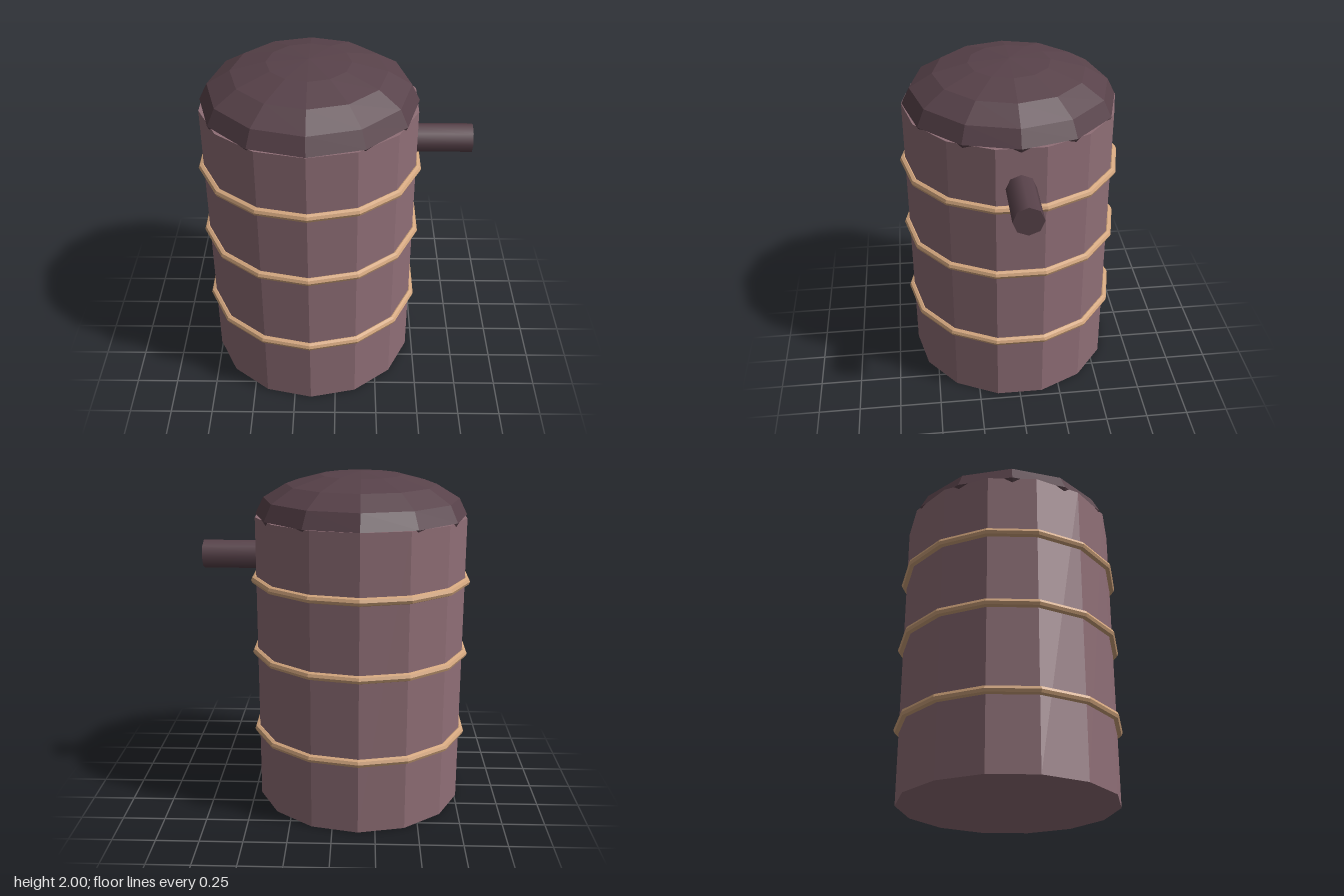
import * as THREE from 'three';

const CX = -0.15; // axis of the barrel
const SIDES = 14;

const material = (name, color) => {
  const m = new THREE.MeshStandardMaterial({ color });
  m.name = name;
  return m;
};

// Separate the faces so each facet is shaded flat
const faceted = (geometry) => {
  const g = geometry.toNonIndexed();
  g.computeVertexNormals();
  return g;
};

export function createModel() {
  const group = new THREE.Group();
  group.name = 'barrel';
  const wood = material('mauve wood', 0x8f6e76);
  const dark = material('dark plum', 0x58424a);
  const brass = material('tan hoop', 0xd3a67e);

  const add = (name, geometry, mat, x, y) => {
    const mesh = new THREE.Mesh(geometry, mat);
    mesh.name = name;
    mesh.position.set(x, y, 0);
    group.add(mesh);
    return mesh;
  };

  // Straight fourteen-sided body with a corner facing the front
  add('body', faceted(new THREE.CylinderGeometry(0.625, 0.625, 1.75, SIDES)), wood, CX, 0.875);

  // Flattened ball whose corners poke out over the rim
  const dome = new THREE.SphereGeometry(0.622, 12, 8);
  dome.scale(1, 0.25 / 0.622, 1);
  add('domedLid', faceted(dome), dark, CX, 1.75);

  // Hoops around the body
  for (const y of [0.44, 0.94, 1.38]) {
    const hoop = new THREE.TorusGeometry(0.632, 0.024, 8, SIDES);
    hoop.rotateZ(Math.PI / 2).rotateX(Math.PI / 2);
    add('hoop', faceted(hoop), brass, CX, y);
  }

  // Spout on the left side
  const spout = new THREE.CylinderGeometry(0.085, 0.085, 0.48, 8);
  spout.rotateZ(-Math.PI / 2);
  add('spout', spout, dark, 0.545, 1.505);

  return group;
}
